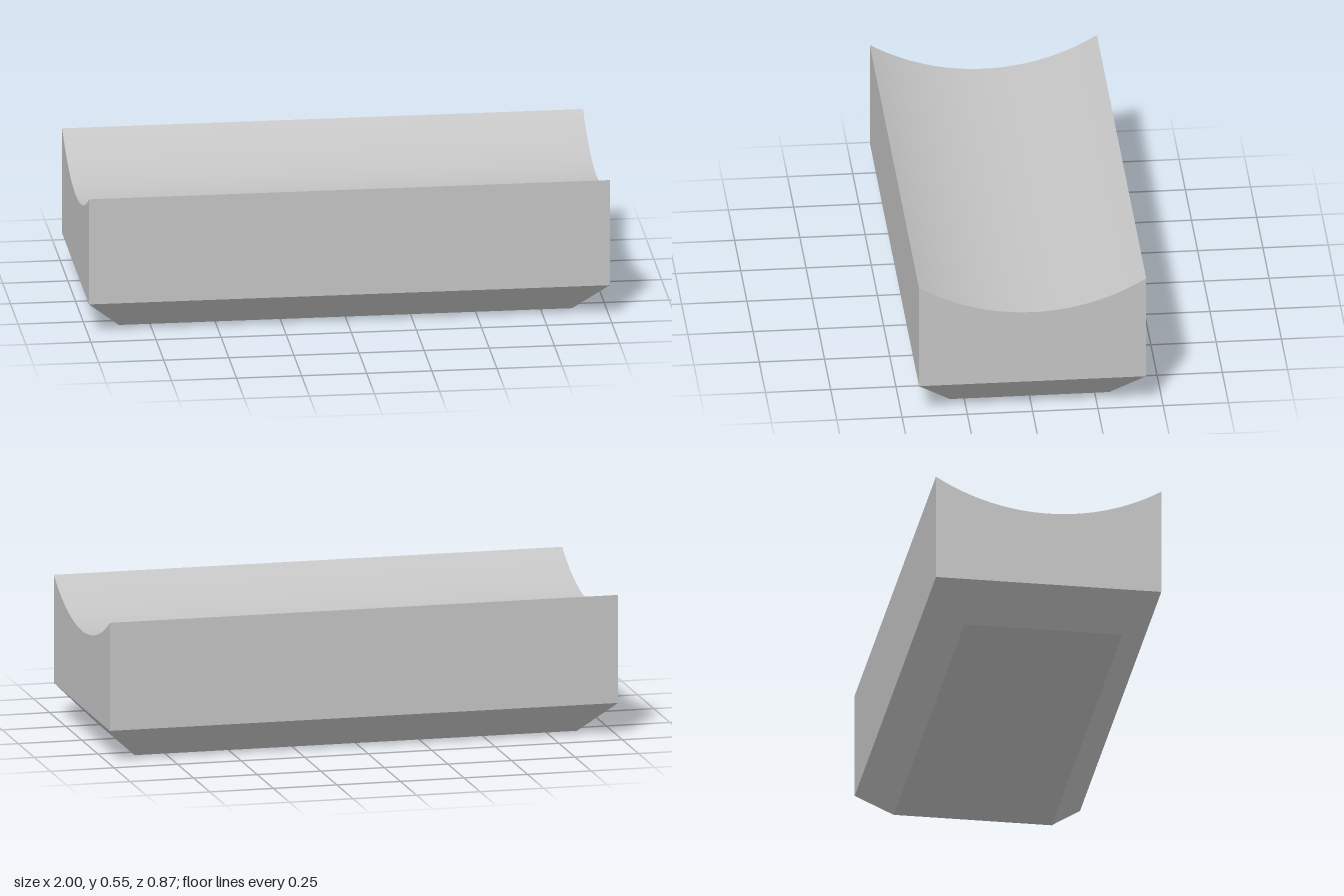
import * as THREE from 'three';

const HALF_X = 1, HALF_Z = 0.435;     // half length and half depth
const CHAMFER = 0.13;                 // 45 degree cut around the underside
const RIM = 0.552, LOW = 0.428;       // top of the walls, bottom of the trough
const STEPS = 40;

// height of the circular trough at depth z
const SAG = RIM - LOW;
const RADIUS = (HALF_Z * HALF_Z + SAG * SAG) / (2 * SAG);
const troughY = (z) => LOW + RADIUS - Math.sqrt(RADIUS * RADIUS - z * z);

// four corners, anticlockwise seen from above
const ring = (w, d, y) => [[-w, y, d], [w, y, d], [w, y, -d], [-w, y, -d]];

// flat-sided geometry from quads with corners anticlockwise from outside
function quads(list) {
  const pos = [];
  for (const [a, b, c, d] of list) pos.push(...a, ...b, ...c, ...a, ...c, ...d);
  const geo = new THREE.BufferGeometry();
  geo.setAttribute('position', new THREE.Float32BufferAttribute(pos, 3));
  geo.computeVertexNormals();
  return geo;
}

export function createModel() {
  const group = new THREE.Group();
  const grey = new THREE.MeshStandardMaterial({ color: 0xc4c4c4 });
  grey.name = 'light grey';
  const add = (name, geo) => {
    const mesh = new THREE.Mesh(geo, grey);
    mesh.name = name;
    group.add(mesh);
  };

  const foot = ring(HALF_X - CHAMFER, HALF_Z - CHAMFER, 0);
  const waist = ring(HALF_X, HALF_Z, CHAMFER);
  const rim = ring(HALF_X, HALF_Z, RIM);
  const band = (low, high, i) => [low[i], low[(i + 1) % 4], high[(i + 1) % 4], high[i]];

  // chamfered underside with its flat bottom
  add('chamferedBase', quads([
    ...[0, 1, 2, 3].map((i) => band(foot, waist, i)),
    [...foot].reverse(),
  ]));

  // long upright walls
  add('frontWall', quads([band(waist, rim, 0)]));
  add('backWall', quads([band(waist, rim, 2)]));

  // end walls with a concave top edge
  const end = new THREE.Shape();
  end.moveTo(-HALF_Z, CHAMFER);
  end.lineTo(HALF_Z, CHAMFER);
  for (let i = 0; i <= STEPS; i++) {
    const z = HALF_Z * (1 - 2 * i / STEPS);
    end.lineTo(z, troughY(z));
  }
  for (const [name, side] of [['leftEnd', 1], ['rightEnd', -1]]) {
    add(name, new THREE.ShapeGeometry(end).rotateY(side * Math.PI / 2).translate(side * HALF_X, 0, 0));
  }

  // smooth concave top, a plane bent to the arc
  const trough = new THREE.PlaneGeometry(2 * HALF_X, 2 * HALF_Z, 1, STEPS).rotateX(-Math.PI / 2);
  const p = trough.attributes.position;
  for (let i = 0; i < p.count; i++) p.setY(i, troughY(p.getZ(i)));
  trough.computeVertexNormals();
  add('concaveTop', trough);

  return group;
}
